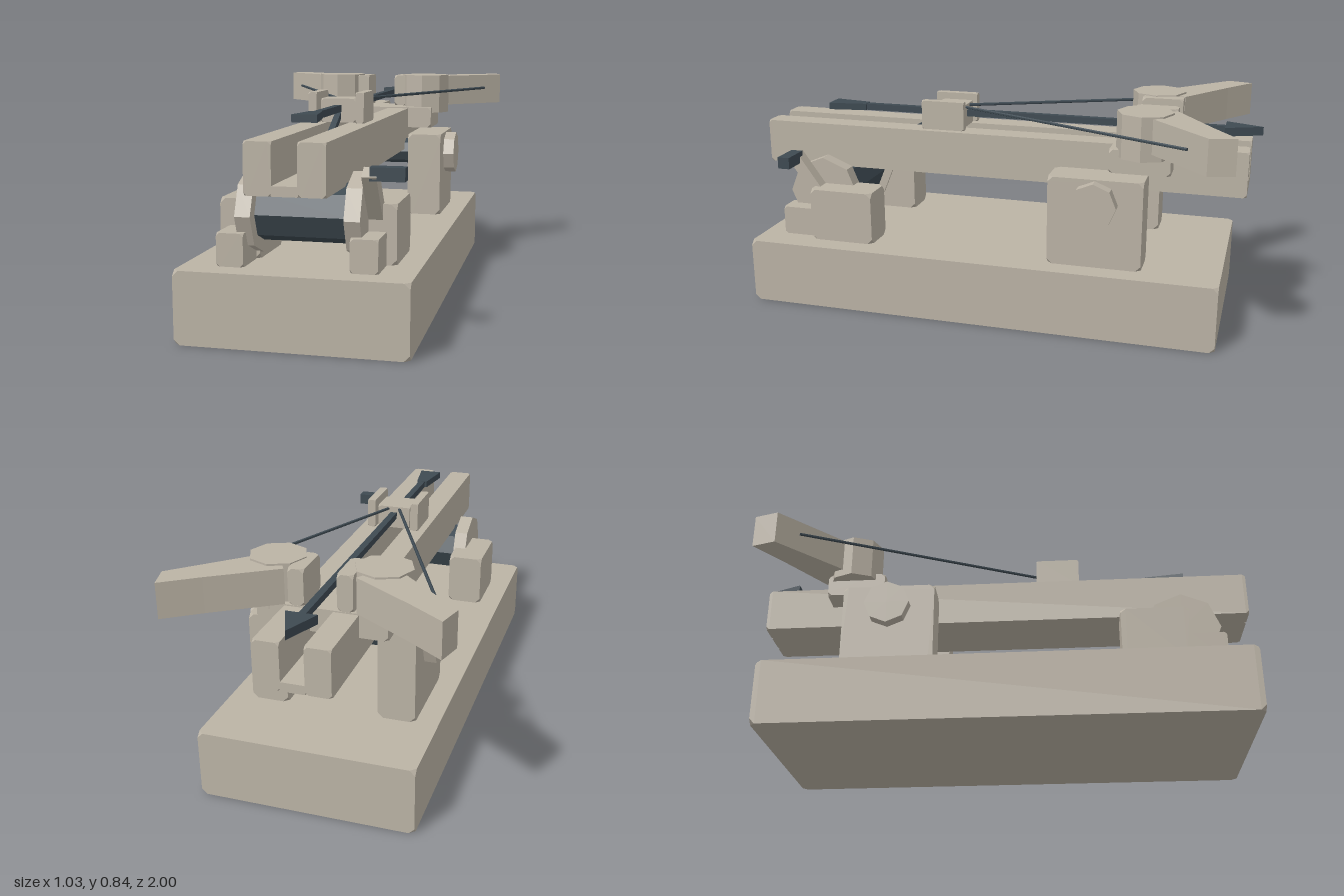
import * as THREE from 'three';
import { ConvexGeometry } from 'three/addons/geometries/ConvexGeometry.js';

const wood = new THREE.MeshStandardMaterial({ color: 0xbbb3a5 });
wood.name = 'weathered wood';
const iron = new THREE.MeshStandardMaterial({ color: 0x3e4a52 });
iron.name = 'dark iron';

// Faceted normals for low-poly shapes
function facet(geo) {
  const g = geo.index ? geo.toNonIndexed() : geo;
  g.computeVertexNormals();
  return g;
}

// Box given by its bounds, with its eight corners clipped off
function block(x0, x1, y0, y1, z0, z1, cut = 0.02) {
  const pts = [];
  for (const [x, sx] of [[x0, 1], [x1, -1]])
    for (const [y, sy] of [[y0, 1], [y1, -1]])
      for (const [z, sz] of [[z0, 1], [z1, -1]])
        pts.push(
          new THREE.Vector3(x + sx * cut, y, z),
          new THREE.Vector3(x, y + sy * cut, z),
          new THREE.Vector3(x, y, z + sz * cut));
  return new ConvexGeometry(pts);
}

// Eight-sided cylinder lying along x
function drumX(r, x0, x1, y, z) {
  const g = new THREE.CylinderGeometry(r, r, x1 - x0, 8);
  g.rotateZ(Math.PI / 2);
  g.translate((x0 + x1) / 2, y, z);
  return facet(g);
}

// Flat plan outline of [x, z] points, raised from y0 to y1
function plan(points, y0, y1) {
  const shape = new THREE.Shape(points.map(([x, z]) => new THREE.Vector2(x, -z)));
  const g = new THREE.ExtrudeGeometry(shape, { depth: y1 - y0, bevelEnabled: false });
  g.rotateX(-Math.PI / 2);
  g.translate(0, y0, 0);
  return g;
}

// Straight square or round bar between two points
function bar(a, b, r, sides = 6) {
  const from = new THREE.Vector3(...a), to = new THREE.Vector3(...b);
  const dir = to.clone().sub(from);
  const g = new THREE.CylinderGeometry(r, r, dir.length(), sides);
  g.rotateY(Math.PI / sides);
  g.applyQuaternion(new THREE.Quaternion().setFromUnitVectors(
    new THREE.Vector3(0, 1, 0), dir.normalize()));
  g.translate(...from.add(to).multiplyScalar(0.5).toArray());
  return facet(g);
}

export function createModel() {
  const model = new THREE.Group();
  model.name = 'ballista';
  const add = (name, geo, mat = wood) => {
    const mesh = new THREE.Mesh(geo, mat);
    mesh.name = name;
    model.add(mesh);
    return mesh;
  };
  // Block on both sides, given by its +x bounds
  const pair = (name, x0, x1, ...rest) => {
    add(name + 'Left', block(x0, x1, ...rest));
    add(name + 'Right', block(-x1, -x0, ...rest));
  };

  // Base and grooved rail
  add('base', block(-0.4, 0.4, 0, 0.255, -0.895, 0.97));
  pair('railBeam', 0.043, 0.136, 0.52, 0.695, -0.96, 1.0, 0.012);
  add('railFloor', block(-0.045, 0.045, 0.52, 0.554, -0.96, 1.0, 0.004));

  // Pivot posts with axle and caps
  pair('pivotPost', 0.175, 0.315, 0.255, 0.6, -0.6, -0.24);
  add('pivotAxle', drumX(0.055, -0.18, 0.18, 0.51, -0.42), iron);
  add('axleCapLeft', drumX(0.088, 0.31, 0.36, 0.508, -0.42));
  add('axleCapRight', drumX(0.088, -0.36, -0.31, 0.508, -0.42));

  // Winch supports, drum and flanges
  pair('winchSupport', 0.17, 0.313, 0.255, 0.465, 0.48, 0.74);
  pair('winchFoot', 0.183, 0.278, 0.255, 0.37, 0.735, 0.88, 0.012);
  add('winchDrum', drumX(0.105, -0.165, 0.165, 0.425, 0.72), iron);
  add('winchFlangeLeft', drumX(0.147, 0.16, 0.215, 0.425, 0.725));
  add('winchFlangeRight', drumX(0.147, -0.215, -0.16, 0.425, 0.725));

  // Crank arm and handle
  const arm = new THREE.BoxGeometry(0.05, 0.2, 0.05);
  arm.rotateX(Math.atan2(0.11, 0.155));
  arm.translate(0.24, 0.503, 0.775);
  add('crankArm', arm);
  const handle = new THREE.BoxGeometry(0.118, 0.046, 0.048);
  handle.translate(0.3, 0.58, 0.825);
  add('crankHandle', handle, iron);

  // Cross block carrying the bow
  add('crossBlock', block(-0.24, 0.24, 0.61, 0.7, -0.685, -0.455, 0.015));
  pair('bowBracket', 0.06, 0.118, 0.703, 0.838, -0.69, -0.53, 0.015);

  // Spring housings, bow arms and string
  for (const [s, side] of [[1, 'Left'], [-1, 'Right']]) {
    const housing = new THREE.CylinderGeometry(0.106, 0.106, 0.168, 8);
    housing.translate(s * 0.195, 0.758, -0.58);
    add('springHousing' + side, facet(housing));
    const outline = [[0.13, -0.69], [0.22, -0.54], [0.285, -0.62],
      [0.513, -0.835], [0.487, -0.93], [0.36, -0.84]];
    add('bowArm' + side, plan(outline.map(([x, z]) => [s * x, z]), 0.703, 0.835));
    add('bowString' + side, bar([s * 0.445, 0.775, -0.76], [s * 0.02, 0.775, 0.18], 0.006), iron);
  }

  // Slider with side plates, and its rope down to the winch
  add('slider', block(-0.067, 0.067, 0.695, 0.785, 0.17, 0.295, 0.01));
  pair('sliderPlate', 0.075, 0.107, 0.695, 0.81, 0.155, 0.33, 0.008);
  add('winchRope', bar([0, 0.73, 0.28], [0, 0.52, 0.67], 0.016, 4), iron);

  // Bolt: shaft, head and tail
  const shaft = new THREE.BoxGeometry(0.026, 0.026, 1.55);
  shaft.translate(0, 0.748, -0.12);
  add('boltShaft', shaft, iron);
  add('boltHead', plan([[0, -1], [-0.057, -0.86], [0.057, -0.86]], 0.732, 0.765), iron);
  add('boltTail', plan([[-0.022, 0.61], [-0.045, 0.765], [0.045, 0.765], [0.022, 0.61]],
    0.735, 0.762), iron);

  return model;
}
